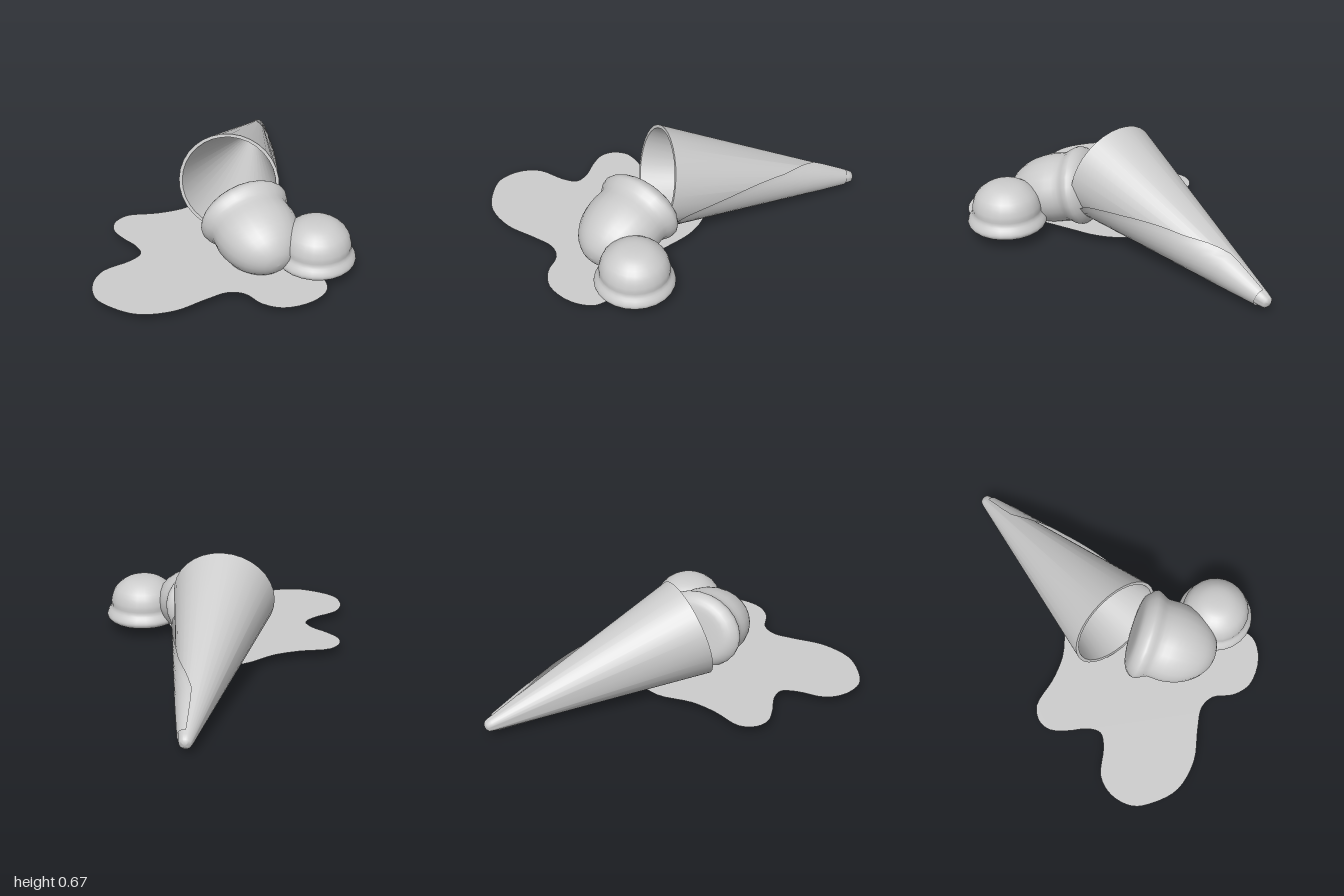
import * as THREE from 'three';
import { toCreasedNormals } from 'three/addons/utils/BufferGeometryUtils.js';

const V2 = (p) => new THREE.Vector2(p[0], p[1]);
const material = new THREE.MeshStandardMaterial({ color: 0xcccccc });
const thin = new THREE.MeshStandardMaterial({ color: 0xcccccc, side: THREE.DoubleSide });

function addMesh(parent, name, geometry, mat = material) {
  const mesh = new THREE.Mesh(geometry, mat);
  mesh.name = name;
  parent.add(mesh);
  return mesh;
}

// Bell-shaped scoop: flat underside, rolled lip, waist and dome, along +y
function scoopGeometry(points) {
  const curve = new THREE.SplineCurve(points.map(V2));
  const profile = curve.getPoints(28);
  profile.forEach((p) => { p.x = Math.max(p.x, 0); });
  return new THREE.LatheGeometry(profile, 24);
}

// Linear interpolation through a list of [position, value] keys
function sample(keys, t) {
  for (let i = 1; i < keys.length; i++) {
    const [a, b] = [keys[i - 1], keys[i]];
    if (t <= b[0]) return THREE.MathUtils.lerp(a[1], b[1], (t - a[0]) / (b[0] - a[0]));
  }
  return keys[keys.length - 1][1];
}

export function createModel() {
  const model = new THREE.Group();
  model.name = 'droppedIceCream';

  // Cone lying on its side: local y runs to the tip, local z is its upper side
  const mouth = new THREE.Vector3(0.05, 0.37, 0.015);
  const tip = new THREE.Vector3(0.965, 0.078, -0.895);
  const length = mouth.distanceTo(tip);
  const axis = tip.clone().sub(mouth).normalize();
  const side = new THREE.Vector3(-axis.z, 0, axis.x).normalize();
  const upper = side.clone().cross(axis);
  const cone = new THREE.Group();
  cone.name = 'cone';
  cone.quaternion.setFromRotationMatrix(new THREE.Matrix4().makeBasis(side, axis, upper));
  cone.position.copy(mouth);
  model.add(cone);

  const R = 0.308, r = 0.042;
  const wall = [
    [0, length - 0.12], [R - 0.02, 0], [R, 0], [r, length - 0.02],
    [r * 0.8, length + 0.01], [r * 0.4, length + 0.022], [0, length + 0.025],
  ];
  addMesh(cone, 'coneWall', toCreasedNormals(new THREE.LatheGeometry(wall.map(V2), 32), 0.7));

  // Overlapping outer layer of the rolled cone, its free edge winding up to the tip
  const edge = [[0, -40], [0.1, -15], [0.3, 6], [0.6, 42], [0.78, 85], [1, 90]];
  const flap = new THREE.PlaneGeometry(1, 1, 14, 20);
  const pos = flap.attributes.position;
  for (let i = 0; i < pos.count; i++) {
    const u = pos.getX(i) + 0.5;
    const t = (pos.getY(i) + 0.5) * 0.97;
    const angle = THREE.MathUtils.degToRad(THREE.MathUtils.lerp(-110, sample(edge, t), u));
    const lift = 0.002 + 0.016 * u * Math.min(1, (1 - t) * 5);
    const radius = THREE.MathUtils.lerp(R, r, t) + lift;
    pos.setXYZ(i, radius * Math.cos(angle), t * length, radius * Math.sin(angle));
  }
  flap.computeVertexNormals();
  addMesh(cone, 'coneOverlap', flap, thin);

  // Large scoop tumbled out of the mouth, a little flattened
  const large = addMesh(model, 'largeScoop', scoopGeometry([
    [0, 0], [0.16, 0], [0.235, 0.015], [0.28, 0.06], [0.275, 0.1], [0.25, 0.15],
    [0.252, 0.25], [0.225, 0.36], [0.165, 0.455], [0.08, 0.515], [0, 0.53],
  ]));
  large.position.set(0.045, 0.27, 0.13);
  large.quaternion.setFromUnitVectors(
    new THREE.Vector3(0, 1, 0), new THREE.Vector3(-0.17, -0.22, 0.95).normalize());
  large.scale.z = 0.83;

  // Small scoop standing upright
  const small = addMesh(model, 'smallScoop', scoopGeometry([
    [0, 0], [0.15, 0], [0.21, 0.005], [0.236, 0.03], [0.228, 0.06], [0.206, 0.095],
    [0.205, 0.14], [0.18, 0.205], [0.12, 0.257], [0.06, 0.277], [0, 0.281],
  ]));
  small.position.set(0.237, 0.075, 0.63);

  // Melted puddle, a flat wavy sheet given as x, z
  const outline = [
    [-0.41, -0.445], [-0.51, -0.42], [-0.56, -0.35], [-0.56, -0.24], [-0.54, -0.12],
    [-0.56, -0.04], [-0.65, -0.015], [-0.83, -0.02], [-0.94, 0.05], [-1, 0.18],
    [-0.97, 0.31], [-0.88, 0.45], [-0.7, 0.54], [-0.5, 0.555], [-0.36, 0.575],
    [-0.29, 0.64], [-0.265, 0.77], [-0.19, 0.87], [-0.02, 0.92], [0.12, 0.88],
    [0.17, 0.77], [0.13, 0.62], [0.16, 0.46], [0.24, 0.26], [0.31, 0.08],
    [0.32, -0.08], [0.27, -0.22], [0.14, -0.3], [-0.08, -0.31], [-0.24, -0.36],
  ].map(([x, z]) => new THREE.Vector3(x, -z, 0));
  const rim = new THREE.CatmullRomCurve3(outline, true).getPoints(120).slice(0, -1);
  const puddle = new THREE.ShapeGeometry(new THREE.Shape(rim.map((p) => new THREE.Vector2(p.x, p.y))));
  puddle.rotateX(-Math.PI / 2);
  addMesh(model, 'puddle', puddle, thin).position.y = 0.062;

  return model;
}
